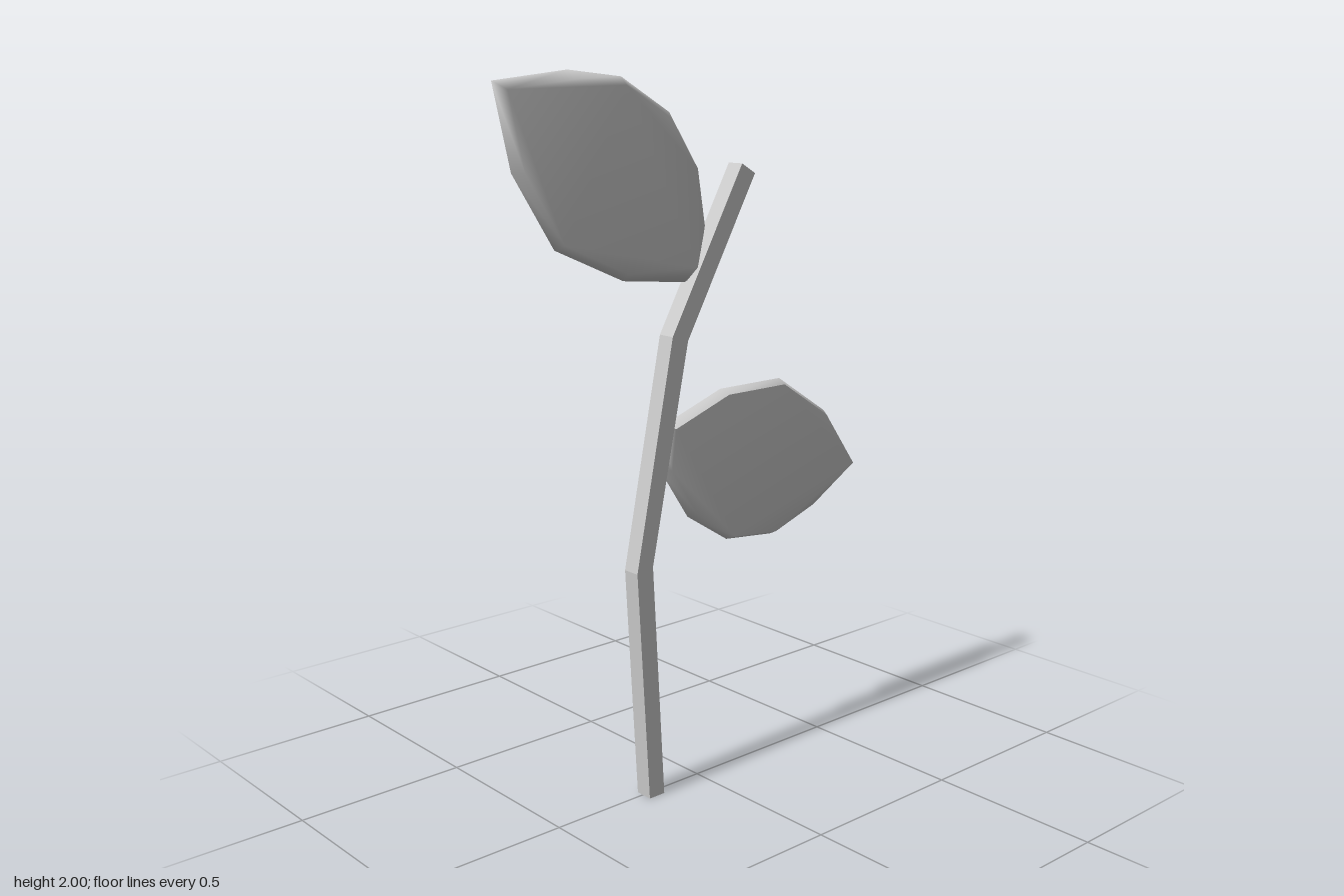
import * as THREE from 'three';

const material = new THREE.MeshStandardMaterial({ color: 0xcccccc });
const toPoints = (list) => list.map(([x, y]) => new THREE.Vector2(x, y));

// Flat leaf with a pointed rim: outline at mid depth, scaled copies in front and behind.
// The first `hard` outline segments get their own vertices so their edges stay crisp.
function makeLeaf(name, outline, scale, hard) {
  const zMid = -0.008, zFront = 0.02, zBack = -0.035;
  const points = toPoints(outline);
  const n = points.length;
  const centre = new THREE.Box2().setFromPoints(points).getCenter(new THREE.Vector2());
  const inner = points.map((p) => p.clone().sub(centre).multiplyScalar(scale).add(centre));
  const positions = [], indices = [];

  // Adds the front, middle and back loops; returns the index of the first vertex
  const addLoops = (count) => {
    const start = positions.length / 3;
    [[inner, zFront], [points, zMid], [inner, zBack]].forEach(([loop, z]) => {
      for (let i = 0; i < count; i++) positions.push(loop[i].x, loop[i].y, z);
    });
    return start;
  };
  // Front and back bevel between outline points i and j
  const addRim = (start, count, i, j) => {
    const f = start, m = start + count, b = start + 2 * count;
    indices.push(m + i, m + j, f + j, m + i, f + j, f + i);
    indices.push(m + i, b + i, b + j, m + i, b + j, m + j);
  };

  // Faces and smooth rim
  const body = addLoops(n);
  for (const [a, b, c] of THREE.ShapeUtils.triangulateShape(inner, [])) {
    indices.push(a, b, c, 2 * n + a, 2 * n + c, 2 * n + b);
  }
  for (let i = hard; i < n; i++) addRim(body, n, i, (i + 1) % n);

  // Crisp rim
  if (hard > 0) {
    const rim = addLoops(hard + 1);
    for (let i = 0; i < hard; i++) addRim(rim, hard + 1, i, i + 1);
  }

  const geometry = new THREE.BufferGeometry();
  geometry.setAttribute('position', new THREE.Float32BufferAttribute(positions, 3));
  geometry.setIndex(indices);
  geometry.computeVertexNormals();
  const mesh = new THREE.Mesh(geometry, material);
  mesh.name = name;
  return mesh;
}

// Bent square stem, extruded from its side profile
function makeStem() {
  const profile = toPoints([
    [-0.152, 0], [-0.188, 0.68], [-0.06, 1.288], [0.183, 1.722],
    [0.135, 1.75], [-0.114, 1.305], [-0.243, 0.67], [-0.205, 0],
  ]);
  const geometry = new THREE.ExtrudeGeometry(new THREE.Shape(profile), {
    depth: 0.053, bevelEnabled: false,
  });
  geometry.translate(0, 0, -0.022);
  const mesh = new THREE.Mesh(geometry, material);
  mesh.name = 'stem';
  return mesh;
}

export function createModel() {
  const group = new THREE.Group();
  group.name = 'sprig';
  group.add(makeStem());

  // Outlines run counter-clockwise as seen from the front
  group.add(makeLeaf('upperLeaf', [
    [0.01, 1.46], [0.035, 1.587], [0.01, 1.74], [-0.09, 1.89], [-0.25, 1.982], [-0.42, 2],
    [-0.645, 1.976], [-0.595, 1.757], [-0.47, 1.56], [-0.25, 1.463], [-0.03, 1.44],
  ], 0.92, 0));
  group.add(makeLeaf('lowerLeaf', [
    [0.638, 0.83], [0.51, 1.008], [0.323, 1.13], [0.093, 1.13], [-0.114, 1.058], [-0.15, 1],
    [-0.13, 0.937], [-0.029, 0.783], [0.119, 0.688], [0.294, 0.669], [0.458, 0.725],
  ], 0.94, 4));
  return group;
}
